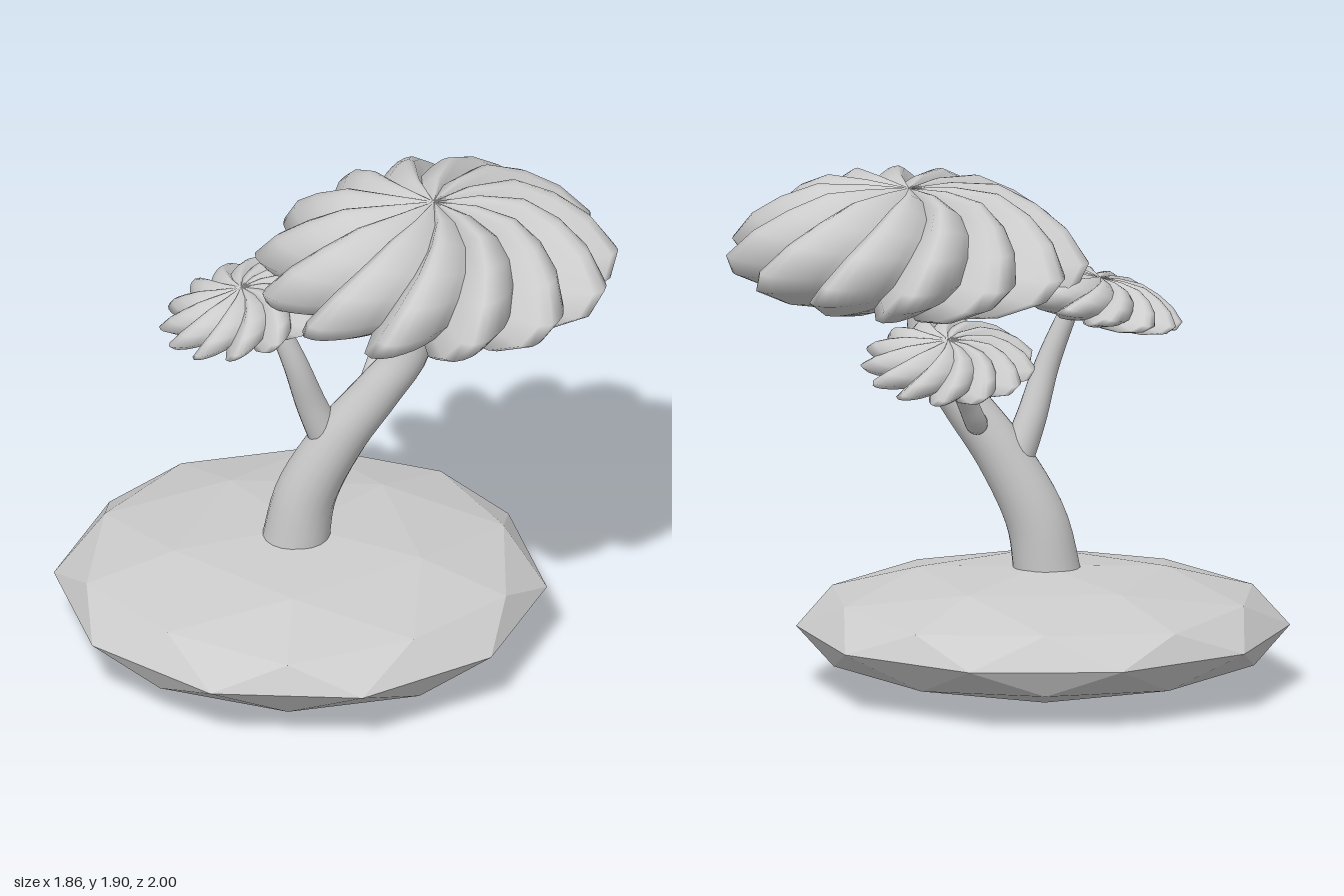
import * as THREE from 'three';
import { mergeGeometries } from 'three/addons/utils/BufferGeometryUtils.js';
import { ParametricGeometry } from 'three/addons/geometries/ParametricGeometry.js';

const smooth = new THREE.MeshStandardMaterial({ color: 0xcccccc });
const faceted = new THREE.MeshStandardMaterial({ color: 0xcccccc, flatShading: true });
const V = (p) => new THREE.Vector3(...p);

function addMesh(group, name, geometry, material) {
  const mesh = new THREE.Mesh(geometry, material);
  mesh.name = name;
  group.add(mesh);
  return mesh;
}

// Tube along a smooth path whose radius shrinks from r0 to r1
function taperedLimb(points, r0, r1) {
  const curve = new THREE.CatmullRomCurve3(points.map(V));
  const rings = 24, sides = 20;
  const geo = new THREE.TubeGeometry(curve, rings, r0, sides);
  const pos = geo.attributes.position;
  const p = new THREE.Vector3();
  for (let i = 0; i <= rings; i++) {
    const centre = curve.getPointAt(i / rings);
    const k = THREE.MathUtils.lerp(1, r1 / r0, i / rings);
    for (let j = 0; j <= sides; j++) {
      const n = i * (sides + 1) + j;
      p.fromBufferAttribute(pos, n).sub(centre).multiplyScalar(k).add(centre);
      pos.setXYZ(n, p.x, p.y, p.z);
    }
  }
  return geo;
}

// Value at t on a polyline of [t, value] pairs
function polyline(points, t) {
  const i = Math.max(1, points.findIndex((p) => p[0] >= t));
  const [a, b] = [points[i - 1], points[i]];
  return THREE.MathUtils.mapLinear(t, a[0], b[0], a[1], b[1]);
}

// Lens-shaped crown of swirling, blunt-tipped lobes, unit radius, rim at y = 0
function canopyGeometry() {
  const lobes = 13;
  const profile = [
    [0.004, 0.385], [0.25, 0.405], [0.5, 0.395], [0.7, 0.3], [0.87, 0.175], [1, 0.01],
    [0.95, -0.11], [0.71, -0.22], [0.4, -0.28], [0.004, -0.28],
  ];
  // Each lobe swells gradually to its tip, then drops steeply into the next groove
  const grooveShape = [[0, 1], [0.25, 0.55], [0.5, 0.18], [0.7, 0], [0.86, 0.08], [1, 1]];
  const last = profile.length - 1;
  const lobe = new ParametricGeometry((u, v, target) => {
    const [r, y] = profile[Math.round(v * last)];
    const groove = polyline(grooveShape, u);
    const kr = 1 - 0.25 * groove * r;
    const ky = 1 - 0.22 * groove * Math.min(1, r / 0.5);
    const angle = (u * Math.PI * 2) / lobes + 0.95 * v;
    target.set(Math.cos(angle) * r * kr, y * ky, Math.sin(angle) * r * kr);
  }, 8, last);
  lobe.computeVertexNormals();
  const parts = [];
  for (let i = 0; i < lobes; i++) parts.push(lobe.clone().rotateY((i * Math.PI * 2) / lobes));
  return mergeGeometries(parts);
}

export function createModel() {
  const group = new THREE.Group();

  // Faceted mound: an icosphere standing on a vertex, squashed flat
  const mound = new THREE.IcosahedronGeometry(1, 1);
  mound.rotateX(-Math.atan2(1 + Math.sqrt(5), 2));
  mound.rotateY(THREE.MathUtils.degToRad(-49.5));
  mound.scale(0.918, 0.228, 0.918);
  mound.translate(-0.04, 0.228, -0.09);
  addMesh(group, 'mound', mound, faceted);

  // Trunk and the two branches
  const limbs = [
    ['trunk', 0.127, 0.06, [[-0.075, 0.4, -0.085], [-0.045, 0.62, -0.055], [0.035, 0.87, 0.045],
      [0.13, 1.08, 0.16], [0.2, 1.25, 0.245], [0.23, 1.52, 0.28]]],
    ['rightBranch', 0.068, 0.033, [[0.02, 0.82, 0.01], [-0.045, 1.0, -0.025],
      [-0.11, 1.2, -0.05], [-0.175, 1.44, -0.12]]],
    ['leftBranch', 0.044, 0.032, [[0.12, 1.02, 0.11], [0.18, 1.01, 0.05],
      [0.27, 1.11, 0.02], [0.42, 1.3, -0.01]]],
  ];
  for (const [name, r0, r1, path] of limbs) addMesh(group, name, taperedLimb(path, r0, r1), smooth);

  // Crowns: name, centre, radius, height scale, tilt about x and z, turn
  const crown = canopyGeometry();
  const crowns = [
    ['mainCanopy', [0.26, 1.622, 0.32], 0.685, 0.675, -0.04, 0, 0.17],
    ['rightCanopy', [-0.235, 1.435, -0.175], 0.34, 0.25, -0.17, 0.18, 0.3],
    ['leftCanopy', [0.45, 1.295, -0.04], 0.33, 0.25, -0.17, -0.2, 0.1],
  ];
  for (const [name, centre, r, h, tiltX, tiltZ, turn] of crowns) {
    const holder = new THREE.Group();
    holder.name = name;
    holder.position.set(...centre);
    holder.rotation.set(tiltX, 0, tiltZ);
    const foliage = addMesh(holder, name + 'Foliage', crown, smooth);
    foliage.scale.set(r, h, r);
    foliage.rotation.y = turn;
    group.add(holder);
  }
  return group;
}
